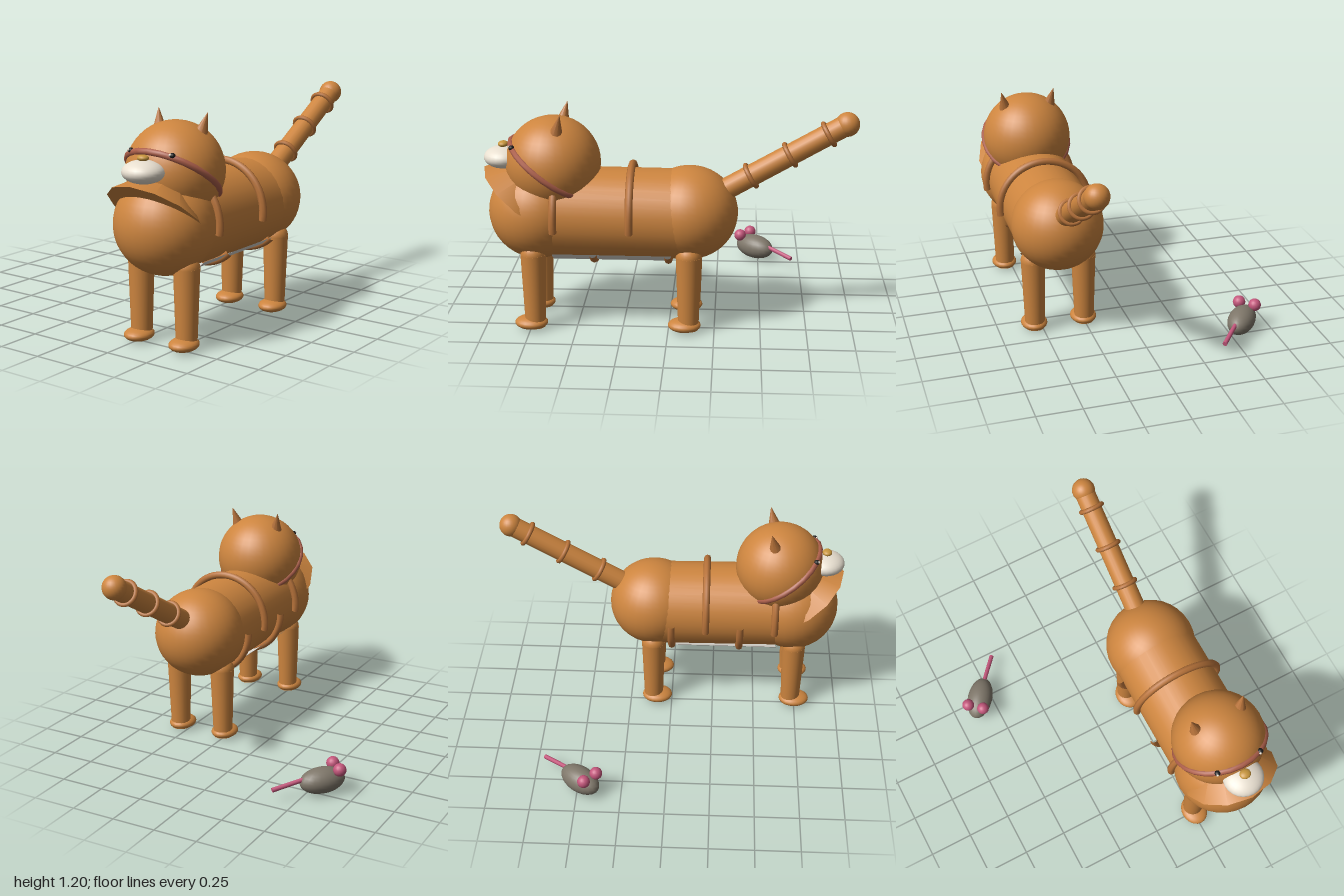
import * as THREE from 'three';

export function createModel() {
  const model = new THREE.Group();
  const cat = new THREE.Group();
  cat.name = 'cat';
  cat.position.x = 0.4;
  const mouse = new THREE.Group();
  mouse.name = 'toyMouse';
  model.add(cat, mouse);

  const mat = (color, side = THREE.FrontSide) => new THREE.MeshStandardMaterial({ color, side });
  const fur = mat(0xcd853f), stripe = mat(0xb8733a), band = mat(0xad5f4a);
  const white = mat(0xe8dfd0), belly = mat(0xe0dcd4, THREE.DoubleSide);
  const gold = mat(0xc8963c), black = mat(0x1a1a1a), pink = mat(0xc4577c), grey = mat(0x7f776a);

  function add(parent, name, geometry, material, x, y, z) {
    const mesh = new THREE.Mesh(geometry, material);
    mesh.name = name;
    mesh.position.set(x, y, z);
    parent.add(mesh);
    return mesh;
  }
  function ball(parent, name, material, [x, y, z], [rx, ry, rz], seg = 32) {
    const mesh = add(parent, name, new THREE.SphereGeometry(1, seg, Math.ceil(seg * 0.75)), material, x, y, z);
    mesh.scale.set(rx, ry, rz);
    return mesh;
  }
  // Tapered rod between two points
  function rod(parent, name, material, a, b, ra, rb, seg = 20) {
    const p = new THREE.Vector3(...a), q = new THREE.Vector3(...b);
    const dir = q.clone().sub(p);
    const mid = p.clone().add(q).multiplyScalar(0.5);
    const mesh = add(parent, name, new THREE.CylinderGeometry(rb, ra, dir.length(), seg), material, mid.x, mid.y, mid.z);
    mesh.quaternion.setFromUnitVectors(new THREE.Vector3(0, 1, 0), dir.normalize());
    return mesh;
  }

  // Torso
  ball(cat, 'chest', fur, [0, 0.645, 0.71], [0.267, 0.265, 0.267]);
  ball(cat, 'hips', fur, [0, 0.643, -0.11], [0.257, 0.253, 0.26]);
  rod(cat, 'torso', fur, [0, 0.633, -0.1], [0, 0.641, 0.7], 0.244, 0.244, 32);
  const bellyGeo = new THREE.CylinderGeometry(0.255, 0.255, 0.64, 16, 1, true, -Math.PI / 4, Math.PI / 2);
  add(cat, 'belly', bellyGeo, belly, 0, 0.632, 0.3).rotation.x = Math.PI / 2;

  // Stripes over the back, then around the underside
  function hoop(name, z, start, arc) {
    const geo = new THREE.TorusGeometry(0.26, 0.021, 8, 32, arc);
    add(cat, name, geo, stripe, 0, 0.64, z).rotation.z = start;
  }
  for (const z of [0.2, 0.6]) hoop('backStripe', z, -Math.PI * 0.05, Math.PI * 1.1);
  for (const z of [0, 0.4]) hoop('lowerStripe', z, Math.PI, Math.PI * 0.75);

  // Legs and paws
  for (const side of [-1, 1]) {
    for (const [name, z] of [['front', 0.725], ['hind', -0.11]]) {
      const x = side * 0.145;
      rod(cat, name + 'Leg', fur, [x, 0.02, z], [x, 0.44, z], 0.055, 0.069);
      ball(cat, name + 'LegTop', fur, [x, 0.44, z], [0.069, 0.069, 0.069], 20);
      ball(cat, name + 'Paw', fur, [x, 0.042, z + 0.022], [0.075, 0.036, 0.09], 20);
    }
  }

  // Tail with rings
  const tailPoint = (z) => [0, 0.6 - 0.58 * z, z];
  rod(cat, 'tail', fur, tailPoint(-0.15), tailPoint(-0.935), 0.059, 0.057);
  ball(cat, 'tailTip', fur, tailPoint(-0.935), [0.065, 0.065, 0.065], 24);
  for (const z of [-0.435, -0.64, -0.84]) {
    const ring = add(cat, 'tailRing', new THREE.TorusGeometry(0.063, 0.013, 8, 24), stripe, ...tailPoint(z));
    ring.rotation.x = Math.atan(0.58);
  }

  // Head and face
  ball(cat, 'head', fur, [0, 0.91, 0.623], [0.256, 0.256, 0.256]);
  ball(cat, 'muzzle', white, [0, 0.94, 0.885], [0.112, 0.06, 0.11], 24);
  ball(cat, 'nose', gold, [0, 1.01, 0.89], [0.032, 0.017, 0.028], 16);
  for (const side of [-1, 1]) {
    rod(cat, 'ear', stripe, [side * 0.125, 1.08, 0.59], [side * 0.155, 1.21, 0.56], 0.045, 0.001, 10);
    ball(cat, 'eye', black, [side * 0.13, 1.025, 0.822], [0.016, 0.014, 0.016], 12);
    ball(cat, 'eyeGlint', white, [side * 0.13 - 0.006, 1.029, 0.833], [0.008, 0.007, 0.008], 8);
  }

  // Tilted band round the head and the flared bib below it
  add(cat, 'headBand', new THREE.TorusGeometry(0.25, 0.018, 8, 24), band, 0, 0.885, 0.644).rotation.x = 0.932;
  add(cat, 'bib', new THREE.ConeGeometry(0.266, 0.3, 12), fur, 0, 0.83, 0.695).rotation.x = -0.686;

  // Toy mouse
  const body = ball(mouse, 'mouseBody', grey, [-0.572, 0.082, -0.48], [0.075, 0.072, 0.131], 20);
  body.rotation.y = -0.675;
  ball(mouse, 'mouseEar', pink, [-0.66, 0.148, -0.45], [0.036, 0.036, 0.036], 16);
  ball(mouse, 'mouseEar', pink, [-0.59, 0.148, -0.388], [0.036, 0.036, 0.036], 16);
  rod(mouse, 'mouseTail', pink, [-0.52, 0.108, -0.54], [-0.385, 0.074, -0.7], 0.012, 0.013, 10);

  return model;
}
